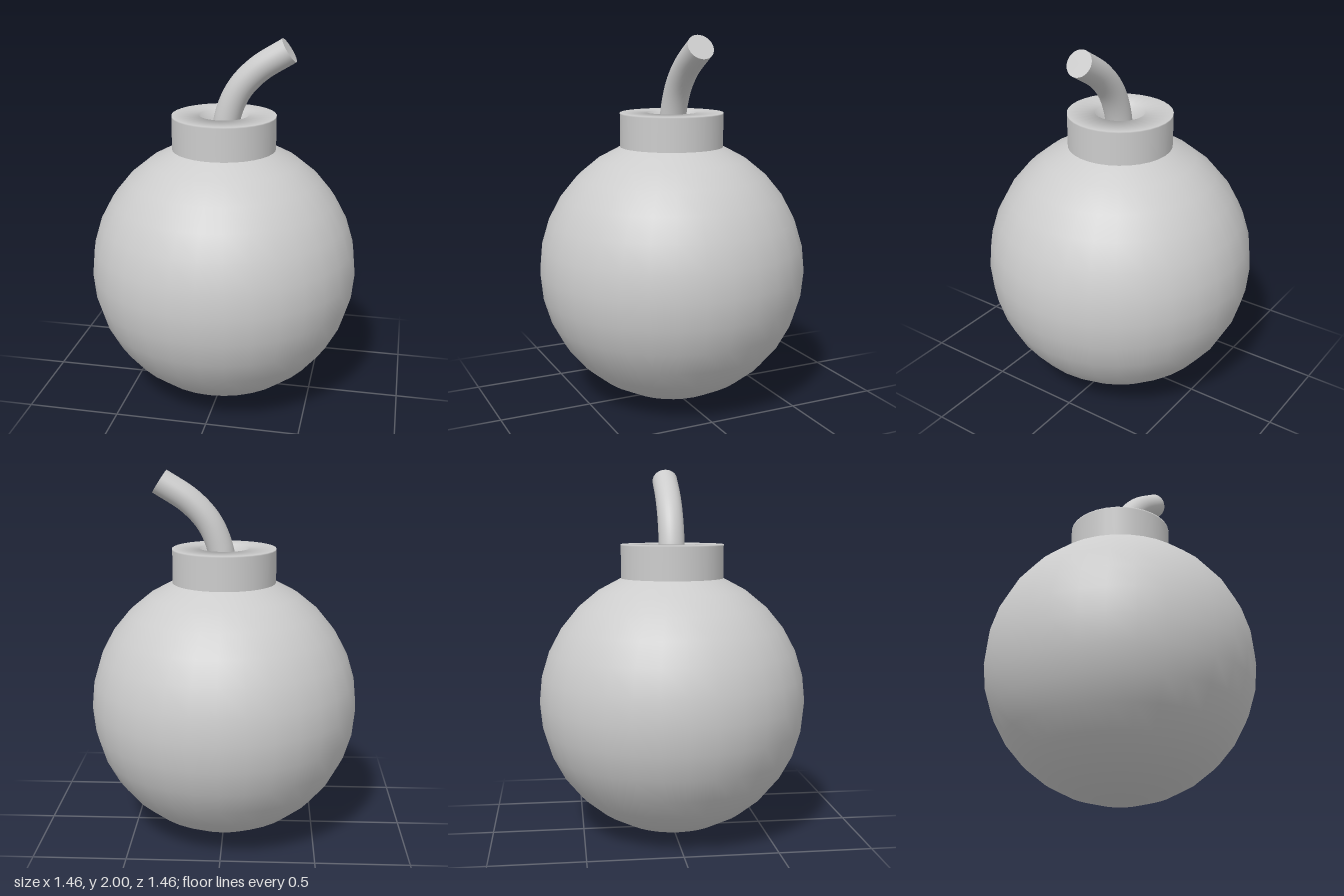
import * as THREE from 'three';

const SEGMENTS = 32;
const RADIUS = 0.73;

export function createModel() {
  const model = new THREE.Group();
  model.name = 'roundBomb';
  const grey = new THREE.MeshStandardMaterial({ color: 0xcccccc });
  grey.name = 'plain grey';

  const add = (name, geometry) => {
    const mesh = new THREE.Mesh(geometry, grey);
    mesh.name = name;
    model.add(mesh);
    return mesh;
  };
  const lathe = (points) =>
    new THREE.LatheGeometry(points.map(([r, y]) => new THREE.Vector2(r, y)), SEGMENTS);

  // Ball, left open at the top where the neck begins
  const ball = [];
  for (let i = 0; i <= 14; i++) {
    const a = (i / 16) * Math.PI;
    ball.push([RADIUS * Math.sin(a), RADIUS * (1 - Math.cos(a))]);
  }
  add('ball', lathe(ball));

  // Neck: outer wall, softly shaded rim with its hole, and the hole floor
  const neckRadius = 0.28;
  add('neckWall', lathe([[neckRadius, 1.4], [neckRadius, 1.58]]));
  add('neckRim', lathe([[neckRadius, 1.58], [neckRadius, 1.588], [0.133, 1.588], [0.133, 1.44]]));
  add('holeFloor', lathe([[0.133, 1.44], [0, 1.44]]));

  // Bent fuse rising out of the hole
  const fusePath = new THREE.CatmullRomCurve3([
    [0, 1.43], [0.022, 1.59], [0.08, 1.725], [0.18, 1.835], [0.342, 1.94],
  ].map(([x, y]) => new THREE.Vector3(x, y, 0)));
  const fuseRadius = 0.071;
  add('fuse', new THREE.TubeGeometry(fusePath, 24, fuseRadius, SEGMENTS));

  // Flat end of the fuse
  const tip = add('fuseTip', new THREE.CircleGeometry(fuseRadius, SEGMENTS));
  tip.position.copy(fusePath.getPointAt(1));
  tip.lookAt(tip.position.clone().add(fusePath.getTangentAt(1)));

  return model;
}
